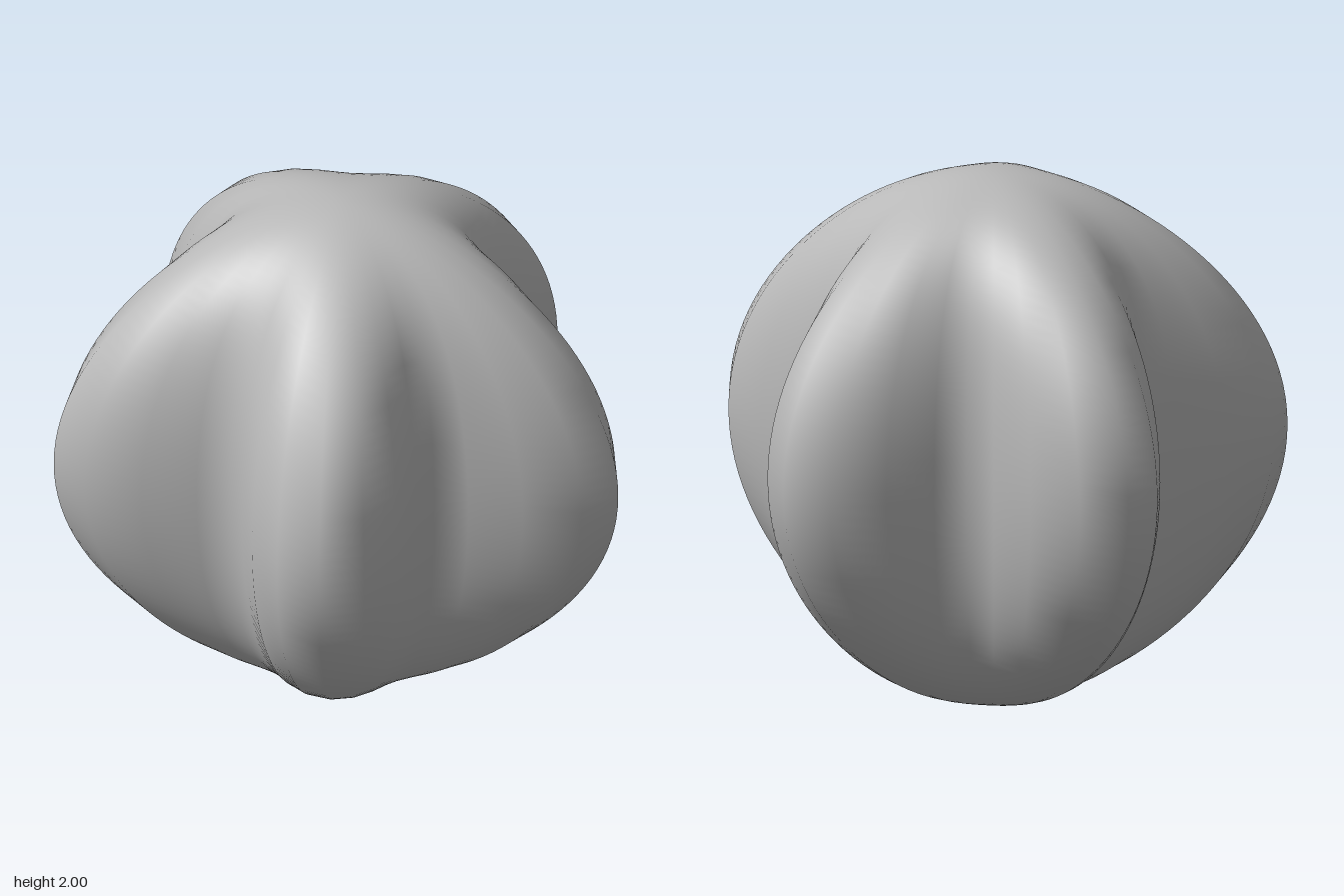
import * as THREE from 'three';
import { mergeVertices } from 'three/addons/utils/BufferGeometryUtils.js';

const LOBES = 5;
const LOBE_DEPTH = 0.26;  // ridge height relative to the mean radius
const LOBE_FADE = 1.5;    // how quickly ridges melt into the poles
const RADIUS_X = 0.864;
const RADIUS_Z = 0.835;
const OFFSET_X = -0.089;  // centres the uneven star outline on x = 0

// A ball whose horizontal sections swell into a five-lobed star
function lobedBall() {
  const ball = new THREE.SphereGeometry(1, 40, 64);
  ball.deleteAttribute('uv');
  ball.deleteAttribute('normal');
  const geometry = mergeVertices(ball, 1e-5); // closes the seam for smooth shading
  const p = geometry.attributes.position;
  for (let i = 0; i < p.count; i++) {
    const x = p.getX(i), y = p.getY(i), z = p.getZ(i);
    const ring = Math.hypot(x, z);
    const swell = 1 + LOBE_DEPTH * Math.cos(LOBES * Math.atan2(z, x)) * Math.pow(ring, LOBE_FADE);
    p.setXYZ(i, x * swell * RADIUS_X + OFFSET_X, y + 1, z * swell * RADIUS_Z);
  }
  geometry.computeVertexNormals();
  return geometry;
}

export function createModel() {
  const group = new THREE.Group();
  group.name = 'lobedFruit';

  const grey = new THREE.MeshStandardMaterial({ color: 0xb8b8b8 });
  grey.name = 'plain grey';

  const body = new THREE.Mesh(lobedBall(), grey);
  body.name = 'lobedBody';
  group.add(body);
  return group;
}
